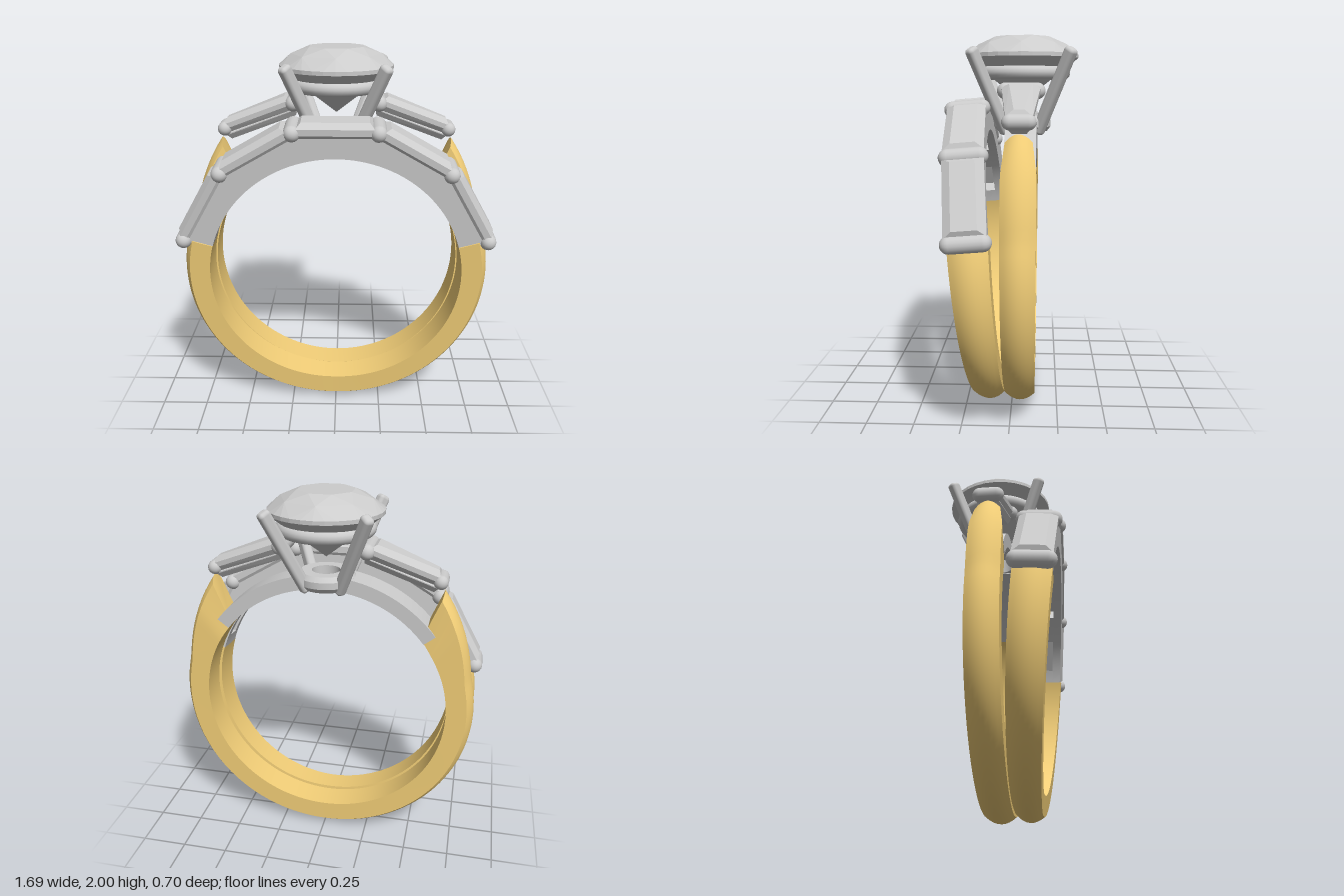
import * as THREE from 'three';
import { toCreasedNormals } from 'three/addons/utils/BufferGeometryUtils.js';
import { ConvexGeometry } from 'three/addons/geometries/ConvexGeometry.js';
import { RoundedBoxGeometry } from 'three/addons/geometries/RoundedBoxGeometry.js';

const RAD = Math.PI / 180, INNER = 0.675, CENTRE_Y = 0.825;
const silver = new THREE.MeshStandardMaterial({ color: 0xcccccc });
const gem = new THREE.MeshStandardMaterial({ color: 0xcccccc, flatShading: true });
const gold = new THREE.MeshStandardMaterial({ color: 0xf3cf78 });
const V = (x, y, z = 0) => new THREE.Vector3(x, y, z);

function add(parent, name, geometry, material) {
  const mesh = new THREE.Mesh(geometry, material);
  mesh.name = name;
  parent.add(mesh);
  return mesh;
}

// Sweeps a closed section of [radius, z] points around the finger axis; at(u, r) gives the angle
function sweep(steps, section, at) {
  const pos = [], index = [];
  let n = 0;
  for (let i = 0; i <= steps; i++) {
    const u = i / steps, pts = section(u);
    n = pts.length;
    for (const [r, z] of pts) {
      const a = at(u, r) * RAD;
      pos.push(r * Math.cos(a), r * Math.sin(a), z);
    }
  }
  for (let i = 0; i < steps; i++) {
    for (let j = 0; j < n; j++) {
      const a = i * n + j, b = i * n + (j + 1) % n;
      index.push(a, a + n, b, b, a + n, b + n);
    }
  }
  const e = steps * n;
  for (let j = 1; j < n - 1; j++) index.push(0, j, j + 1, e, e + j + 1, e + j);
  const g = new THREE.BufferGeometry();
  g.setAttribute('position', new THREE.Float32BufferAttribute(pos, 3));
  g.setIndex(index);
  return toCreasedNormals(g, 0.5);
}

// Rectangular arc between two angles
const arc = (a0, a1, outer, half) => sweep(Math.ceil((a1 - a0) / 3),
  () => [[INNER, -half], [outer, -half], [outer, half], [INNER, half]],
  u => a0 + (a1 - a0) * u);

// Shank: flat inside and sides, domed outside, open at the top
function shank(endAngle, slant, outerAt, halfAt) {
  return sweep(96, u => {
    const t = Math.abs(u * 2 - 1), ro = outerAt(t), h = halfAt(t);
    const pts = [[INNER, -h]];
    for (let k = -4; k <= 4; k++) pts.push([ro - 0.035 * (k / 4) ** 2, h * k / 4]);
    pts.push([INNER, h]);
    return pts;
  }, (u, r) => -90 + (u * 2 - 1) * (endAngle + slant * (r - INNER)));
}

// Step-cut bar stone, length along x, width w0 at -x and w1 at +x
function baguette(len, w0, w1, low, high) {
  const pts = [];
  for (const [y, inset] of [[low, 0.02], [low + 0.03, 0], [high - 0.025, 0], [high, 0.04]]) {
    for (const s of [-1, 1]) {
      pts.push(V(-len / 2 + inset * 0.6, y, s * (w0 / 2 - inset)));
      pts.push(V(len / 2 - inset * 0.6, y, s * (w1 / 2 - inset)));
    }
  }
  return new ConvexGeometry(pts);
}

// Rounded holding bar across the band
function claw(parent, x, y, length, r) {
  const m = add(parent, 'stoneBar', new THREE.CapsuleGeometry(r, length - 2 * r, 6, 16), silver);
  m.position.set(x, y, 0);
  m.rotation.x = Math.PI / 2;
}

// Front band with five bar stones
function weddingBand() {
  const band = new THREE.Group();
  band.name = 'weddingBand';
  add(band, 'bandShank', shank(106, 0, () => 0.818, t => 0.07 + 0.026 * t), gold);

  // Two rails, arched inside and faceted outside
  const shape = new THREE.Shape();
  shape.absarc(0, 0, INNER, 15 * RAD, 165 * RAD, false);
  for (let a = 165; a >= 15; a -= 30) shape.lineTo(0.82 * Math.cos(a * RAD), 0.82 * Math.sin(a * RAD));
  const rail = toCreasedNormals(
    new THREE.ExtrudeGeometry(shape, { depth: 0.05, bevelEnabled: false, curveSegments: 48 }), 0.4);
  for (const z of [-0.09, 0.04]) add(band, 'rail', rail, silver).position.z = z;

  // Solid bridges leave a window behind each stone
  for (let a = 15; a <= 165; a += 30) {
    add(band, 'bridge', arc(Math.max(a - 7, 15), Math.min(a + 7, 165), 0.78, 0.045), silver);
    claw(band, 0.83 * Math.cos(a * RAD), 0.83 * Math.sin(a * RAD), 0.24, 0.043);
  }
  const stone = baguette(0.39, 0.2, 0.2, 0.765, 0.853);
  for (let a = -60; a <= 60; a += 30) add(band, 'bandStone', stone, gem).rotation.z = a * RAD;

  band.position.set(0, CENTRE_Y, 0.165);
  band.rotation.x = 0.08;
  return band;
}

// Round brilliant with table, crown, girdle and pavilion
function brilliant() {
  const pts = [V(0, 1.655)];
  const ring = (n, r, y, turn) => {
    for (let i = 0; i < n; i++) {
      const a = (i + turn) * 2 * Math.PI / n;
      pts.push(V(r * Math.cos(a), y, r * Math.sin(a)));
    }
  };
  ring(8, 0.15, 2.0, 0.5);
  ring(8, 0.238, 1.962, 0);
  ring(32, 0.3, 1.908, 0);
  ring(32, 0.3, 1.888, 0);
  return new ConvexGeometry(pts);
}

// Claw setting for the centre stone
function head() {
  const g = new THREE.Group();
  g.name = 'head';
  add(g, 'centreStone', brilliant(), gem);
  const basket = add(g, 'basketRing', new THREE.TorusGeometry(0.222, 0.036, 14, 48), silver);
  basket.rotation.x = Math.PI / 2;
  basket.position.y = 1.81;
  const collar = [[0.075, 1.5], [0.135, 1.5], [0.155, 1.525], [0.155, 1.56], [0.135, 1.585], [0.075, 1.585], [0.075, 1.5]];
  add(g, 'collar', toCreasedNormals(
    new THREE.LatheGeometry(collar.map(p => new THREE.Vector2(...p)), 40), 0.5), silver);
  for (let k = 0; k < 4; k++) {
    const arm = new THREE.Group();
    arm.name = 'prong';
    arm.rotation.y = (45 + 90 * k) * RAD;
    const m = add(arm, 'prongPost', new RoundedBoxGeometry(0.065, 0.5, 0.055, 3, 0.02), silver);
    m.position.set(0.24, 1.71, 0);
    m.rotation.z = -Math.atan2(0.235, 0.42);
    g.add(arm);
  }
  return g;
}

// Back ring with centre stone and a tapered stone on each shoulder
function engagementRing() {
  const ring = new THREE.Group();
  ring.name = 'engagementRing';
  const shoulder = t => 0.82 + 0.11 * Math.max(0, (t - 0.78) / 0.22) ** 1.2;
  const half = t => 0.076 + 0.009 * t - 0.02 * Math.max(0, (t - 0.93) / 0.07);
  add(ring, 'shank', shank(130, 32, shoulder, half), gold).position.y = CENTRE_Y;
  ring.add(head());

  for (let k = 0; k < 2; k++) {
    const side = new THREE.Group();
    side.name = 'shoulder';
    side.rotation.y = k * Math.PI;
    add(side, 'arch', arc(38, 83, 0.75, 0.08), silver).position.y = CENTRE_Y;
    const p = V(0.225, 1.715), q = V(0.597, 1.572);
    claw(side, p.x, p.y, 0.25, 0.042);
    claw(side, q.x, q.y, 0.165, 0.038);
    const setting = new THREE.Group();
    setting.name = 'taperedSetting';
    setting.position.copy(p).lerp(q, 0.5);
    setting.rotation.z = Math.atan2(q.y - p.y, q.x - p.x);
    add(setting, 'taperedStone', baguette(0.38, 0.2, 0.13, -0.03, 0.05), gem);
    add(setting, 'stoneSeat', baguette(0.4, 0.17, 0.11, -0.065, -0.005), gem);
    side.add(setting);
    ring.add(side);
  }
  ring.position.z = -0.05;
  return ring;
}

export function createModel() {
  const model = new THREE.Group();
  model.name = 'ringSet';
  model.add(weddingBand(), engagementRing());
  return model;
}
